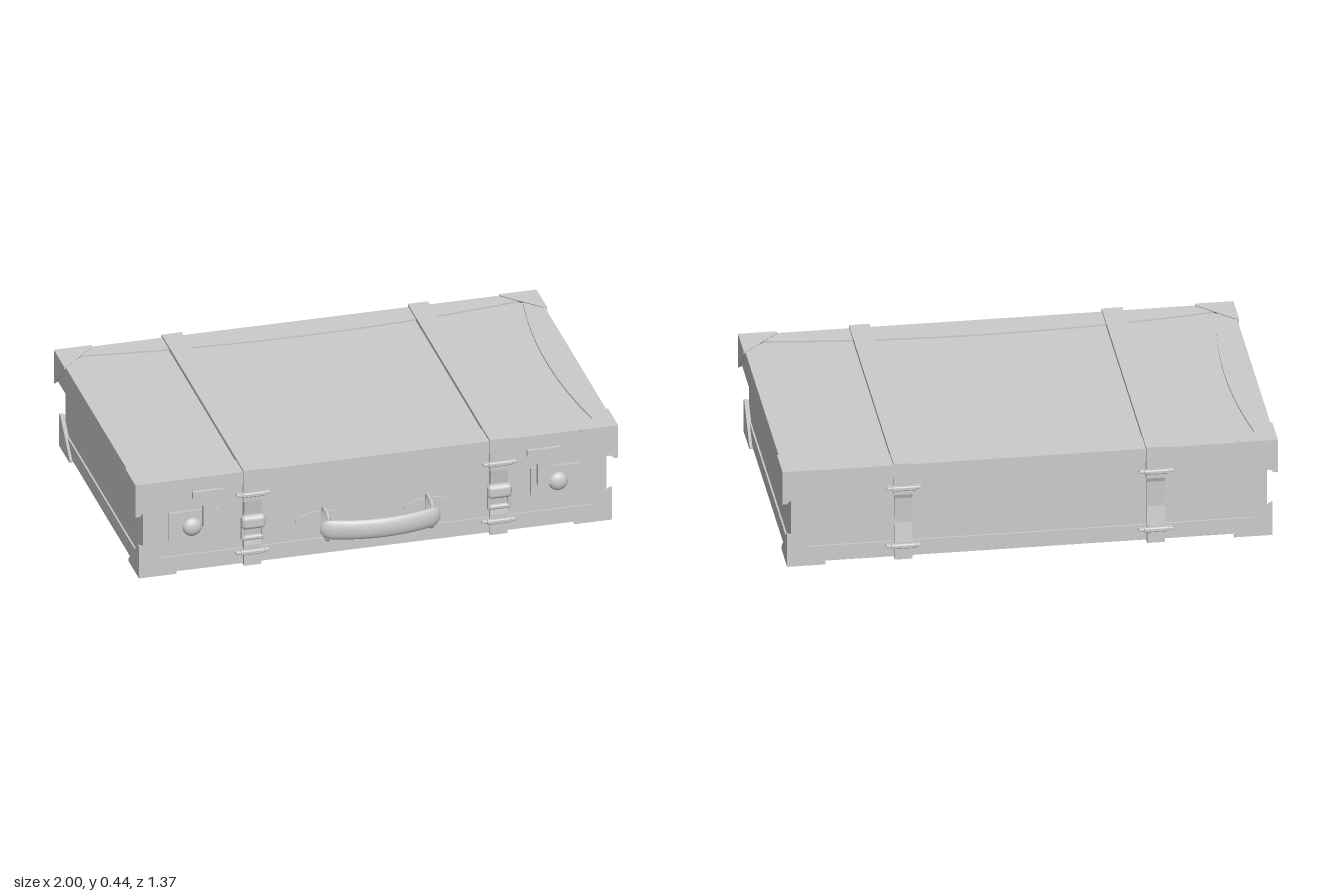
import * as THREE from 'three';
import { RoundedBoxGeometry } from 'three/addons/geometries/RoundedBoxGeometry.js';
import { ConvexGeometry } from 'three/addons/geometries/ConvexGeometry.js';

const grey = new THREE.MeshStandardMaterial({ color: 0xcccccc });

export function createModel() {
  const model = new THREE.Group();

  const add = (name, geometry, x = 0, y = 0, z = 0) => {
    const mesh = new THREE.Mesh(geometry, grey);
    mesh.name = name;
    mesh.position.set(x, y, z);
    model.add(mesh);
    return mesh;
  };

  // Box given by half width, and its y and z ranges
  const block = (name, hx, y0, y1, z0, z1, x = 0) =>
    add(name, new THREE.BoxGeometry(2 * hx, y1 - y0, z1 - z0), x, (y0 + y1) / 2, (z0 + z1) / 2);

  const extrude = (shape, depth, curveSegments = 12) =>
    new THREE.ExtrudeGeometry(shape, { depth, bevelEnabled: false, curveSegments });

  const polygon = (points) => new THREE.Shape(points.map(([x, y]) => new THREE.Vector2(x, y)));

  // Leather border: a rectangle with a bowed window, lying flat
  const trim = (name, hx, z0, z1, y0, y1) => {
    const shape = polygon([[-hx, -z1], [hx, -z1], [hx, -z0], [-hx, -z0]]);
    const mid = -(z0 + z1) / 2;
    const cx = hx - 0.07, front = -z1 + 0.062, back = -z0 - 0.062;
    const hole = new THREE.Path();
    hole.moveTo(-cx, front);
    hole.quadraticCurveTo(-cx + 0.1, mid, -cx, back);
    hole.quadraticCurveTo(0, back - 0.13, cx, back);
    hole.quadraticCurveTo(cx - 0.1, mid, cx, front);
    hole.quadraticCurveTo(0, front + 0.13, -cx, front);
    shape.holes.push(hole);
    add(name, extrude(shape, y1 - y0).rotateX(-Math.PI / 2), 0, y0, 0);
  };

  // Case body and lid
  block('base', 0.96, 0.014, 0.3, -0.64, 0.525);
  trim('baseTrim', 0.967, -0.648, 0.533, 0.008, 0.075);
  block('lid', 0.985, 0.29, 0.419, -0.662, 0.545);
  trim('lidTrim', 0.993, -0.67, 0.552, 0.37, 0.426);

  // Corner caps: cut-off corners reaching inwards from an outer point
  const cornerCap = (name, x, y, z, sx, sy, sz) => {
    const L = 0.155, H = 0.145, t = 0.016;
    const points = [
      [0, 0, 0], [L, 0, 0], [L, t, 0], [L, 0, t],
      [0, H, 0], [t, H, 0], [0, H, t],
      [0, 0, L], [t, 0, L], [0, t, L],
    ].map(([a, b, c]) => new THREE.Vector3(a * sx, b * sy, c * sz));
    add(name, new ConvexGeometry(points), x, y, z);
  };
  for (const s of [1, -1]) {
    cornerCap('lidCornerFront', s, 0.43, 0.56, -s, -1, -1);
    cornerCap('lidCornerBack', s, 0.43, -0.675, -s, -1, 1);
    cornerCap('baseCornerFront', s * 0.98, 0, 0.54, -s, 1, -1);
    cornerCap('baseCornerBack', s * 0.98, 0, -0.665, -s, 1, 1);
  }

  // Side profile of the lower strap as [z, y]
  const strapProfile = polygon([
    [-0.672, 0.31], [-0.657, 0.27], [-0.652, 0.16], [-0.664, 0.075], [-0.664, 0],
    [0.544, 0], [0.544, 0.09], [0.538, 0.13], [0.545, 0.22], [0.556, 0.31],
  ]);

  // Front outline of the hasp, hanging from the lid
  const haspShape = polygon([
    [-0.068, 0.365], [-0.068, 0.335], [-0.04, 0.325], [-0.026, 0.3], [-0.026, 0.205],
    [0.026, 0.205], [0.026, 0.3], [0.04, 0.325], [0.068, 0.335], [0.068, 0.365],
  ]);

  for (const s of [1, -1]) {
    // Straps
    const sx = s * 0.51;
    block('lidStrap', 0.042, 0.297, 0.435, -0.68, 0.562, sx);
    const lower = extrude(strapProfile, 0.072).translate(0, 0, -0.036).rotateY(-Math.PI / 2);
    add('lowerStrap', lower, sx);

    // Strap keepers, front and back
    for (const [y, zf, zb] of [[0.325, 0.558, -0.676], [0.06, 0.542, -0.662]]) {
      for (const z of [zf, zb]) {
        add('strapKeeper', new RoundedBoxGeometry(0.1, 0.02, 0.024, 2, 0.006), sx, y, z);
        for (const e of [1, -1])
          add('keeperTab', new RoundedBoxGeometry(0.035, 0.012, 0.026, 1, 0.004),
            sx + e * 0.053, y, z - Math.sign(z) * 0.006);
      }
    }

    // Buckle: roller, frame and strap tail
    add('buckleRoller', new RoundedBoxGeometry(0.1, 0.06, 0.04, 3, 0.018), sx, 0.2, 0.552);
    add('buckleFrame', new RoundedBoxGeometry(0.086, 0.02, 0.026, 2, 0.008), sx, 0.125, 0.54);
    for (const e of [1, -1])
      add('buckleSide', new RoundedBoxGeometry(0.012, 0.1, 0.022, 2, 0.005), sx + e * 0.041, 0.165, 0.54);

    // Latch
    block('latchPlate', 0.105, 0.15, 0.27, 0.515, 0.534, s * 0.75);
    add('hasp', extrude(haspShape, 0.02), s * 0.693, 0, 0.54);
    const knob = new THREE.SphereGeometry(0.04, 20, 8, 0, Math.PI * 2, 0, Math.PI / 2);
    knob.rotateX(Math.PI / 2).scale(1, 1, 0.65);
    add('latchKnob', knob, s * 0.758, 0.2, 0.533);

    // Handle mount: leather patch and wire ring
    const patch = new THREE.CylinderGeometry(1, 1, 0.014, 32);
    patch.rotateX(Math.PI / 2).scale(0.105, 0.04, 1);
    add('handlePatch', patch, s * 0.225, 0.157, 0.526);
    const ring = new THREE.CatmullRomCurve3(
      [[0.21, 0.535], [0.215, 0.58], [0.205, 0.612], [0.11, 0.612], [0.1, 0.58], [0.105, 0.535]]
        .map(([y, z]) => new THREE.Vector3(0, y, z)), true, 'catmullrom', 0.3);
    add('handleRing', new THREE.TubeGeometry(ring, 40, 0.008, 8, true), s * 0.215);
  }

  // Carrying handle: a flattened capsule bowed forwards
  const grip = new THREE.CapsuleGeometry(0.042, 0.416, 8, 24, 24);
  grip.rotateZ(Math.PI / 2);
  const p = grip.attributes.position;
  for (let i = 0; i < p.count; i++) {
    const x = p.getX(i);
    p.setZ(i, p.getZ(i) * 0.42 - 0.052 * (x / 0.25) ** 2);
  }
  grip.computeVertexNormals();
  add('handleGrip', grip, 0, 0.157, 0.662);

  return model;
}
